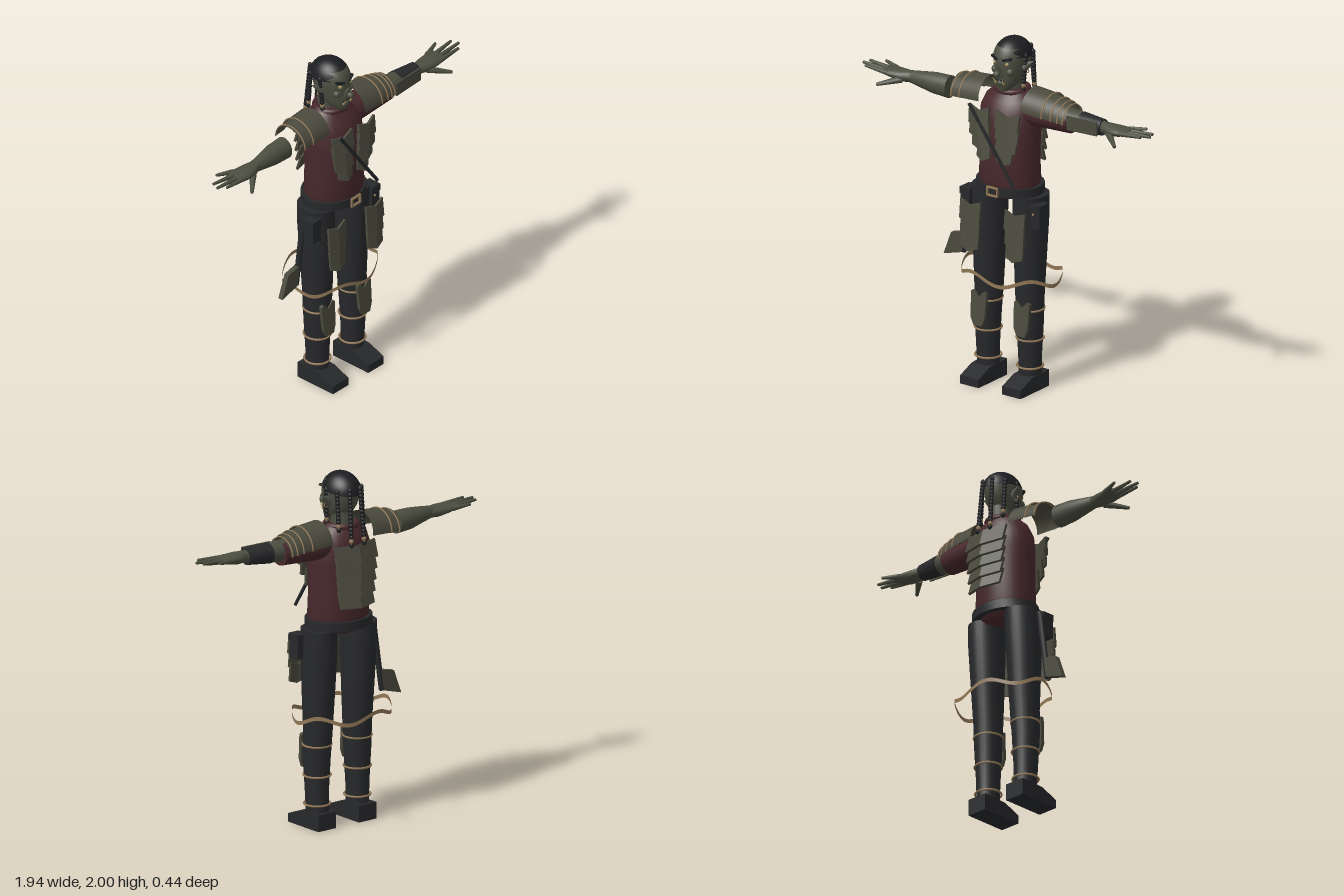
import * as THREE from 'three';
import { toCreasedNormals } from 'three/addons/utils/BufferGeometryUtils.js';

export function createModel() {
  const root = new THREE.Group();
  const mat = (name, color, side = THREE.FrontSide) => {
    const m = new THREE.MeshStandardMaterial({ color, side });
    m.name = name;
    return m;
  };
  const skin = mat('skin', 0x4b4e40), plate = mat('armourPlate', 0x4b4a3d, THREE.DoubleSide);
  const cloth = mat('maroonCloth', 0x47282b), dark = mat('darkLeather', 0x27282a);
  const rope = mat('rope', 0x927856, THREE.DoubleSide), hair = mat('hair', 0x1d1e21);
  const eye = mat('eye', 0xb09a60);

  const add = (name, geo, m, x = 0, y = 0, z = 0, rx = 0, ry = 0, rz = 0) => {
    const mesh = new THREE.Mesh(geo, m);
    mesh.name = name;
    mesh.position.set(x, y, z);
    mesh.rotation.set(rx, ry, rz);
    root.add(mesh);
    return mesh;
  };
  const box = (w, h, d) => new THREE.BoxGeometry(w, h, d);
  const flat = (g) => {
    const f = g.toNonIndexed();
    f.computeVertexNormals();
    return f;
  };

  // Closed elliptical cross-sections [y, x, z, radiusX, radiusZ], from low to high
  const loft = (rings, n = 24) => {
    const cap = (r) => [r[0], r[1], r[2], 0, 0];
    const all = [cap(rings[0]), ...rings, cap(rings[rings.length - 1])];
    const pos = [], idx = [];
    all.forEach(([y, x, z, a, b], i) => {
      for (let j = 0; j < n; j++) {
        const t = (j / n) * Math.PI * 2;
        pos.push(x + a * Math.sin(t), y, z + b * Math.cos(t));
        if (i === all.length - 1) continue;
        const p = i * n + j, q = i * n + ((j + 1) % n);
        idx.push(p, q, p + n, q, q + n, p + n);
      }
    });
    const g = new THREE.BufferGeometry();
    g.setAttribute('position', new THREE.Float32BufferAttribute(pos, 3));
    g.setIndex(idx);
    return toCreasedNormals(g, 0.9);
  };
  // Same along x: [x, y, z, radiusY, radiusZ], mirrored when s is -1
  const loftX = (rings, s = 1) => {
    const r = rings.map(([x, y, z, a, b]) => [x * s, -y, z, a, b]);
    return loft(s < 0 ? r.reverse() : r).rotateZ(-Math.PI / 2);
  };
  // Tapered rod between two points
  const rod = (name, a, b, r0, r1, m, n = 10) => {
    const p = new THREE.Vector3(...a), d = new THREE.Vector3(...b).sub(p);
    const mesh = add(name, new THREE.CylinderGeometry(r1, r0, d.length(), n), m);
    mesh.position.copy(p).addScaledVector(d, 0.5);
    mesh.quaternion.setFromUnitVectors(new THREE.Vector3(0, 1, 0), d.normalize());
    return mesh;
  };
  // Armour scale with a pointed lower edge, folded along its middle
  const scale = (w, h, d, drop, fold) => {
    const g = new THREE.BoxGeometry(w, h, d, 2, 1, 1), p = g.attributes.position;
    for (let i = 0; i < p.count; i++) {
      if (Math.abs(p.getX(i)) > 0.001) continue;
      p.setY(i, p.getY(i) - drop);
      p.setZ(i, p.getZ(i) + fold);
    }
    return flat(g);
  };

  // Torso, collar and belt
  add('tunic', loft([
    [1.1, 0, 0.025, 0.1, 0.1], [1.14, 0, 0.025, 0.17, 0.14], [1.2, 0, 0.025, 0.18, 0.15],
    [1.32, 0, 0.025, 0.172, 0.15], [1.5, 0, 0.022, 0.178, 0.15], [1.6, 0, 0.015, 0.178, 0.14],
    [1.66, 0, 0.005, 0.155, 0.115], [1.7, 0, 0, 0.11, 0.085], [1.715, 0, 0, 0.095, 0.078],
  ], 32), cloth);
  add('collar', new THREE.TorusGeometry(0.085, 0.016, 8, 24), cloth, 0, 1.705, 0, Math.PI / 2);
  add('belt', loft([[1.13, 0, 0.022, 0.2, 0.16], [1.18, 0, 0.022, 0.2, 0.16]], 32), dark);
  for (const y of [-0.023, 0.023]) add('buckle', box(0.074, 0.009, 0.012), rope, 0, 1.155 + y, 0.188);
  for (const x of [-0.033, 0.033]) add('buckle', box(0.009, 0.046, 0.012), rope, x, 1.155, 0.188);
  const strap = add('chestStrap', box(0.018, 0.52, 0.008), dark, 0.005, 1.43, 0.204);
  strap.rotation.z = Math.atan2(0.3, 0.42);

  // Overlapping back scales
  for (let i = 0; i < 5; i++) {
    add('backScale', scale(0.28 - 0.012 * i, 0.1, 0.014, 0.015, -0.03), plate,
      0, 1.57 - 0.064 * i, -0.128, 0.3);
  }

  // Head
  add('neck', loft([[1.64, 0, -0.01, 0.062, 0.065], [1.8, 0, -0.01, 0.06, 0.065]]), skin);
  add('head', loft([
    [1.715, 0, 0.075, 0.03, 0.035], [1.735, 0, 0.06, 0.05, 0.06], [1.77, 0, 0.03, 0.07, 0.095],
    [1.82, 0, 0.012, 0.085, 0.11], [1.88, 0, 0.005, 0.094, 0.118], [1.92, 0, 0.003, 0.094, 0.116],
    [1.955, 0, 0, 0.08, 0.1], [1.985, 0, 0, 0.045, 0.06],
  ], 28), skin);
  const cap = add('hairCap', new THREE.SphereGeometry(1, 32, 12, 0, Math.PI * 2, 0, Math.PI * 0.47),
    hair, 0, 1.89, -0.004, -0.14);
  cap.scale.set(0.1, 0.111, 0.122);
  const nose = add('nose', new THREE.ConeGeometry(0.03, 0.095, 10), skin, 0, 1.845, 0.128, 0.5);
  nose.scale.z = 0.9;
  add('noseTip', new THREE.SphereGeometry(0.02, 12, 8), skin, 0, 1.825, 0.148);
  add('mouth', box(0.055, 0.007, 0.012), hair, 0, 1.782, 0.118);
  add('lowerLip', new THREE.SphereGeometry(0.024, 12, 8), skin, 0, 1.765, 0.108);
  for (const s of [-1, 1]) {
    add('brow', box(0.052, 0.012, 0.02), hair, s * 0.04, 1.905, 0.108, 0, s * 0.35, s * 0.2);
    add('eye', new THREE.SphereGeometry(0.012, 10, 8), eye, s * 0.038, 1.878, 0.105);
    add('cheek', new THREE.SphereGeometry(0.024, 12, 8), skin, s * 0.048, 1.83, 0.09);
    rod('tusk', [s * 0.026, 1.765, 0.12], [s * 0.032, 1.8, 0.142], 0.007, 0.001, eye, 8);
    rod('ear', [s * 0.08, 1.845, 0.005], [s * 0.135, 1.882, -0.012], 0.032, 0.001, skin, 8);
    add('earRing', new THREE.TorusGeometry(0.012, 0.003, 6, 12), rope, s * 0.1, 1.825, 0.005);
  }

  // Braids of small knots, each closed by a bead
  const braid = (a, b, n) => {
    const p = new THREE.Vector3(...a), q = new THREE.Vector3(...b), v = new THREE.Vector3();
    for (let i = 0; i <= n; i++) {
      v.lerpVectors(p, q, i / n);
      const k = add('braid', new THREE.SphereGeometry(0.013, 8, 6), i === n - 1 ? rope : hair,
        v.x, v.y, v.z);
      k.scale.y = 1.35;
    }
  };
  for (const s of [-1, 1]) {
    braid([s * 0.096, 1.91, 0.01], [s * 0.085, 1.72, 0.02], 9);
    braid([s * 0.085, 1.91, -0.07], [s * 0.085, 1.7, -0.085], 10);
    braid([s * 0.035, 1.92, -0.118], [s * 0.045, 1.62, -0.145], 14);
  }

  // Rows of scales on chest and thighs, legs, shins and shoes
  for (const s of [-1, 1]) {
    for (let i = 0; i < 4; i++) {
      const w = [0.145, 0.142, 0.125, 0.095][i];
      add('chestScale', scale(w, 0.1, 0.016, 0.022, 0.012), plate,
        s * (0.022 + w / 2), 1.58 - 0.064 * i, 0.178 - 0.004 * i, -0.14, s * 0.12, -s * 0.06);
    }
    for (let i = 0; i < 3; i++) {
      add('thighScale', scale(0.135 - 0.01 * i, 0.11, 0.014, 0.022, 0.01), plate,
        s * 0.15, 1.015 - 0.08 * i, 0.185, -0.1);
    }
    add('leg', loft([
      [0.05, s * 0.14, 0.03, 0.06, 0.066], [0.2, s * 0.142, 0.034, 0.064, 0.068],
      [0.4, s * 0.142, 0.034, 0.075, 0.078], [0.55, s * 0.138, 0.03, 0.08, 0.083],
      [0.8, s * 0.138, 0.025, 0.089, 0.098], [1.0, s * 0.138, 0.02, 0.096, 0.108],
      [1.13, s * 0.138, 0.02, 0.096, 0.11],
    ]), dark);

    const shin = new THREE.Shape([[-0.025, -0.1], [0.03, -0.1], [0.048, -0.05], [0.052, 0.09],
      [0.035, 0.1], [0, 0.065], [-0.035, 0.1], [-0.052, 0.09], [-0.045, -0.06]]
      .map((p) => new THREE.Vector2(...p)));
    add('shinGuard', new THREE.ExtrudeGeometry(shin, { depth: 0.02, bevelEnabled: false }), plate,
      s * 0.145, 0.425, 0.104, -0.08);

    const side = new THREE.Shape([[-0.055, 0], [0.205, 0], [0.205, 0.048], [0.1, 0.09], [-0.055, 0.095]]
      .map((p) => new THREE.Vector2(...p)));
    const shoe = new THREE.ExtrudeGeometry(side, { depth: 0.124, bevelEnabled: false });
    add('shoe', shoe.rotateY(-Math.PI / 2).translate(0.062, 0, 0), dark, s * 0.142, 0, 0);

    // Rope bindings round the lower leg
    for (const [y, r] of [[0.135, 0.072], [0.297, 0.075], [0.47, 0.079]]) {
      add('legBinding', new THREE.TorusGeometry(r, 0.006, 6, 28), rope, s * 0.141, y, 0.033, Math.PI / 2);
    }
    add('pouch', box(0.062, 0.135, 0.075), dark, s * 0.236, 1.035, 0.08);
    add('pouchFlap', box(0.068, 0.04, 0.08), dark, s * 0.236, 1.085, 0.08);
  }
  add('pouchButton', new THREE.SphereGeometry(0.007, 8, 6), rope, 0.225, 1.05, 0.12);

  // Loose wavy cord hanging round the legs
  const cord = new THREE.CylinderGeometry(1, 1, 0.022, 72, 1, true), cp = cord.attributes.position;
  for (let i = 0; i < cp.count; i++) {
    const a = Math.atan2(cp.getX(i), cp.getZ(i));
    cp.setXYZ(i, cp.getX(i) * 0.3, cp.getY(i) + 0.022 * Math.sin(a * 5 + 3.5), cp.getZ(i) * 0.222);
  }
  cord.computeVertexNormals();
  add('hangingCord', cord, rope, -0.005, 0.645, 0);

  // Hatchet at the right hip
  rod('hatchetHandle', [-0.31, 0.69, 0.03], [-0.25, 1.1, 0.03], 0.016, 0.016, dark, 8);
  const blade = new THREE.Shape([[-0.435, 0.655], [-0.31, 0.69], [-0.295, 0.81], [-0.385, 0.79]]
    .map((p) => new THREE.Vector2(...p)));
  add('hatchetBlade', new THREE.ExtrudeGeometry(blade, { depth: 0.03, bevelEnabled: false }), plate, 0, 0, 0.015);

  // Arms: sleeve and bracer on the left, bare forearm on the right
  add('sleeve', loftX([[0.1, 1.61, 0.01, 0.08, 0.09], [0.2, 1.605, 0.01, 0.076, 0.085],
    [0.42, 1.608, 0.018, 0.068, 0.07]]), cloth);
  add('leftForearm', loftX([[0.38, 1.62, 0.022, 0.062, 0.062], [0.5, 1.623, 0.028, 0.055, 0.054],
    [0.66, 1.63, 0.038, 0.034, 0.03]]), skin);
  add('bracer', loftX([[0.49, 1.622, 0.025, 0.058, 0.057], [0.64, 1.627, 0.036, 0.046, 0.045]]), dark);
  add('bracerPlate', box(0.2, 0.08, 0.009), plate, 0.53, 1.625, 0.086, 0, 0.02, 0.03);
  add('rightForearm', loftX([[0.4, 1.625, 0.027, 0.064, 0.058], [0.5, 1.627, 0.03, 0.06, 0.055],
    [0.58, 1.63, 0.036, 0.047, 0.043], [0.66, 1.632, 0.04, 0.034, 0.03]], -1), skin);
  const fingers = [[-0.005, 0.88, -0.035], [0.025, 0.955, 0.012], [0.055, 0.97, 0.055], [0.085, 0.93, 0.09]];
  for (const s of [-1, 1]) {
    add('palm', loftX([[0.64, 1.632, 0.04, 0.032, 0.03], [0.7, 1.63, 0.043, 0.034, 0.05],
      [0.77, 1.635, 0.043, 0.026, 0.058], [0.82, 1.64, 0.04, 0.014, 0.054]], s), skin);
    for (const [z, x, tz] of fingers) {
      rod('finger', [s * 0.78, 1.637, z], [s * x, 1.65, tz], 0.015, 0.008, skin);
    }
    rod('thumb', [s * 0.7, 1.615, 0.07], [s * 0.805, 1.588, 0.16], 0.021, 0.009, skin);
  }

  // Arched shoulder guards with rope trim
  const guards = {
    1: [[0.14, 0.29, 0.115, 1.625], [0.27, 0.345, 0.106, 1.619], [0.33, 0.385, 0.1, 1.614], [0.37, 0.415, 0.093, 1.61]],
    '-1': [[0.14, 0.28, 0.115, 1.625], [0.26, 0.34, 0.108, 1.617]],
  };
  for (const s of [1, -1]) {
    for (const [x0, x1, r, y] of guards[s]) {
      const g = new THREE.CylinderGeometry(s > 0 ? r - 0.003 : r, s > 0 ? r : r - 0.003, x1 - x0, 20, 1, true,
        Math.PI, Math.PI).rotateZ(-Math.PI / 2);
      add('shoulderGuard', g, plate, s * (x0 + x1) / 2, y, 0.01, 0, 0, -s * 0.06);
      add('shoulderTrim', new THREE.TorusGeometry(r, 0.004, 6, 24, Math.PI), rope,
        s * (x1 - 0.008), y - 0.004, 0.01, 0, Math.PI / 2);
    }
  }
  return root;
}
